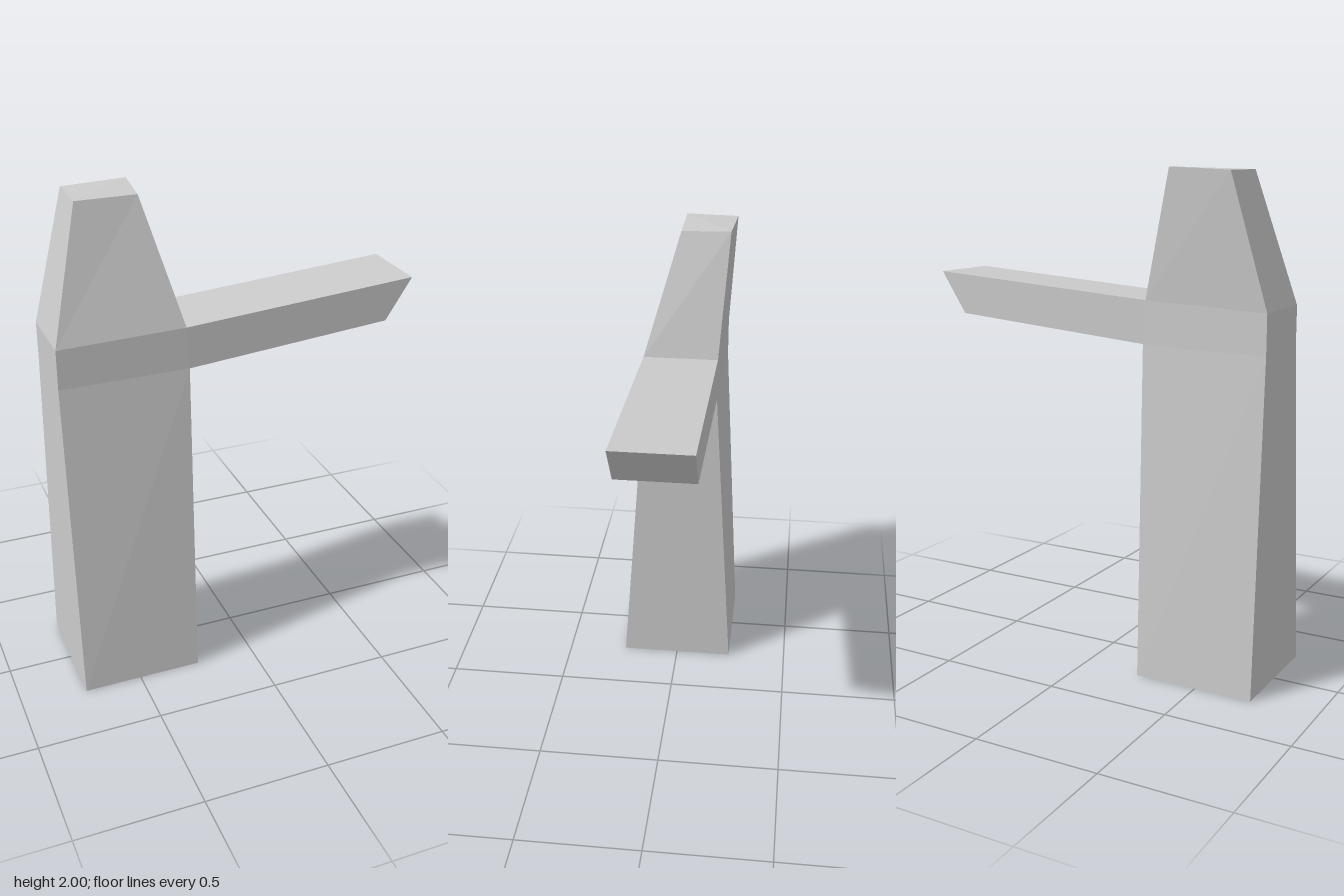
import * as THREE from 'three';

const material = new THREE.MeshStandardMaterial({ color: 0xcccccc, flatShading: true });

// Skin four-cornered rings (counter-clockwise seen from the far end), with optional caps
function loft(name, rings, capStart, capEnd) {
  const position = [];
  const quad = (a, b, c, d) => position.push(...a, ...b, ...c, ...a, ...c, ...d);
  for (let r = 0; r < rings.length - 1; r++) {
    for (let i = 0; i < 4; i++) {
      const j = (i + 1) % 4;
      quad(rings[r][i], rings[r][j], rings[r + 1][j], rings[r + 1][i]);
    }
  }
  if (capStart) quad(...[...rings[0]].reverse());
  if (capEnd) quad(...rings[rings.length - 1]);
  const geometry = new THREE.BufferGeometry();
  geometry.setAttribute('position', new THREE.Float32BufferAttribute(position, 3));
  geometry.computeVertexNormals();
  const mesh = new THREE.Mesh(geometry, material);
  mesh.name = name;
  return mesh;
}

export function createModel() {
  const group = new THREE.Group();
  group.name = 'signpost';

  // Horizontal rings: front -x, front +x, back +x, back -x
  const base = [[-0.735, 0, 0.243], [-0.245, 0, 0.243], [-0.245, 0, -0.243], [-0.735, 0, -0.243]];
  const lower = [[-0.735, 1.32, 0.125], [-0.222, 1.33, 0.14], [-0.222, 1.33, -0.165], [-0.735, 1.32, -0.175]];
  const upper = [[-0.735, 1.48, 0.125], [-0.232, 1.5, 0.14], [-0.232, 1.5, -0.165], [-0.735, 1.48, -0.175]];
  const crown = [[-0.603, 1.99, 0], [-0.362, 1.99, 0], [-0.345, 2, -0.2], [-0.597, 1.988, -0.212]];

  // Vertical sections of the crossbeam: front bottom, back bottom, back top, front top
  const beamStart = [lower[0], lower[3], upper[3], upper[0]];
  const beamMiddle = [lower[1], lower[2], upper[2], upper[1]];
  const beamTip = [[0.62, 1.4, 0.14], [0.62, 1.4, -0.165], [0.73, 1.57, -0.165], [0.73, 1.57, 0.14]];

  group.add(
    loft('column', [base, lower], true, false),
    loft('crossbeam', [beamStart, beamMiddle, beamTip], true, true),
    loft('taperedHead', [upper, crown], false, true),
  );
  return group;
}
